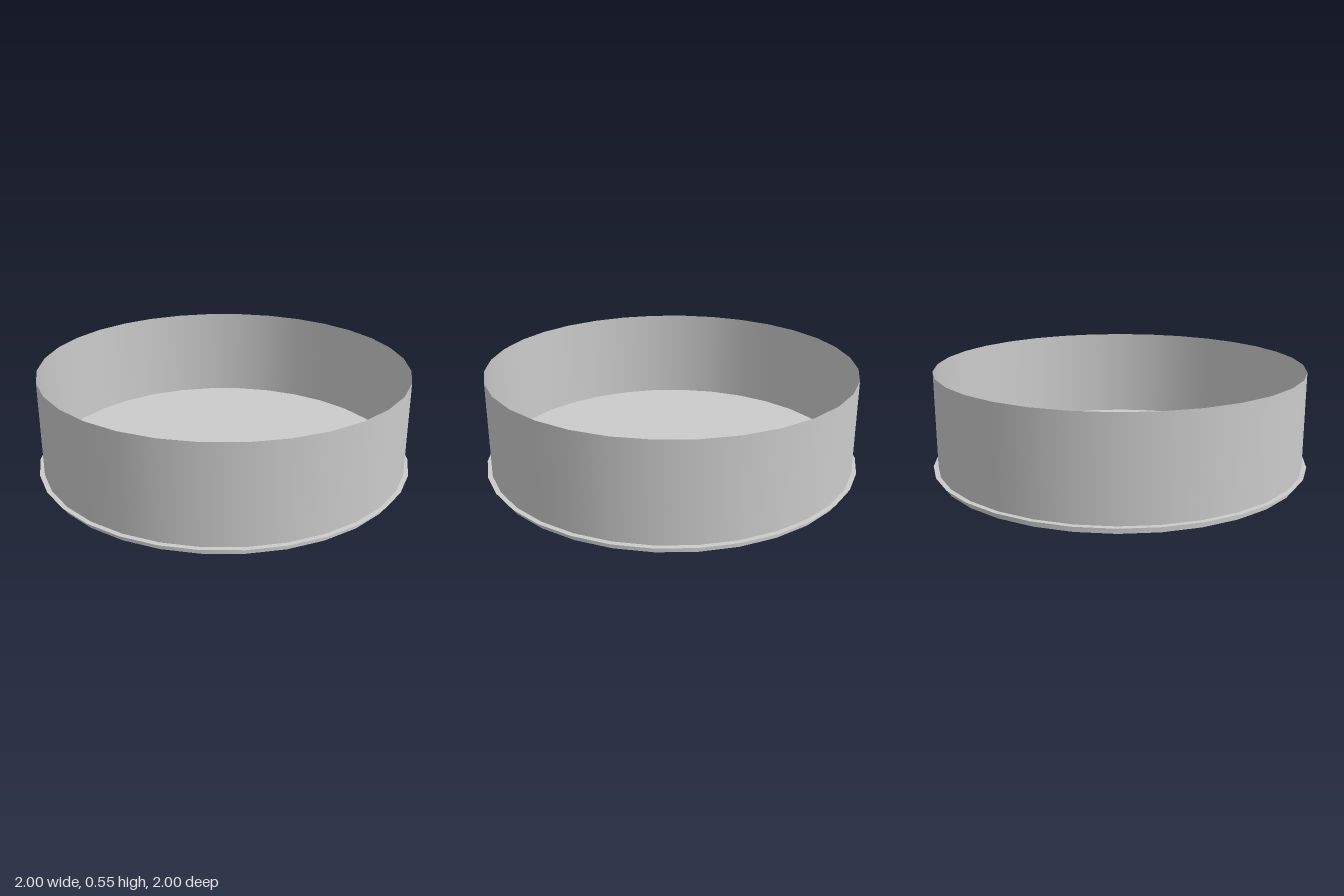
import * as THREE from 'three';

const SIDES = 32;
const WALL_RADIUS = 0.975;
const WALL_HEIGHT = 0.545;
const FLOOR_RADIUS = 1;
const FLOOR_Y = 0.035;

export function createModel() {
  const group = new THREE.Group();
  group.name = 'openRoundTray';
  const material = new THREE.MeshStandardMaterial({ color: 0xcccccc, side: THREE.DoubleSide });

  // Thin round wall, open at the top and bottom
  const wall = new THREE.Mesh(
    new THREE.CylinderGeometry(WALL_RADIUS, WALL_RADIUS, WALL_HEIGHT, SIDES, 1, true),
    material
  );
  wall.name = 'wall';
  wall.position.y = WALL_HEIGHT / 2;
  group.add(wall);

  // Flat floor just above the wall's lower edge, reaching slightly outside it
  const floor = new THREE.Mesh(new THREE.CircleGeometry(FLOOR_RADIUS, SIDES), material);
  floor.name = 'floor';
  floor.rotation.x = -Math.PI / 2;
  floor.position.y = FLOOR_Y;
  group.add(floor);

  return group;
}
